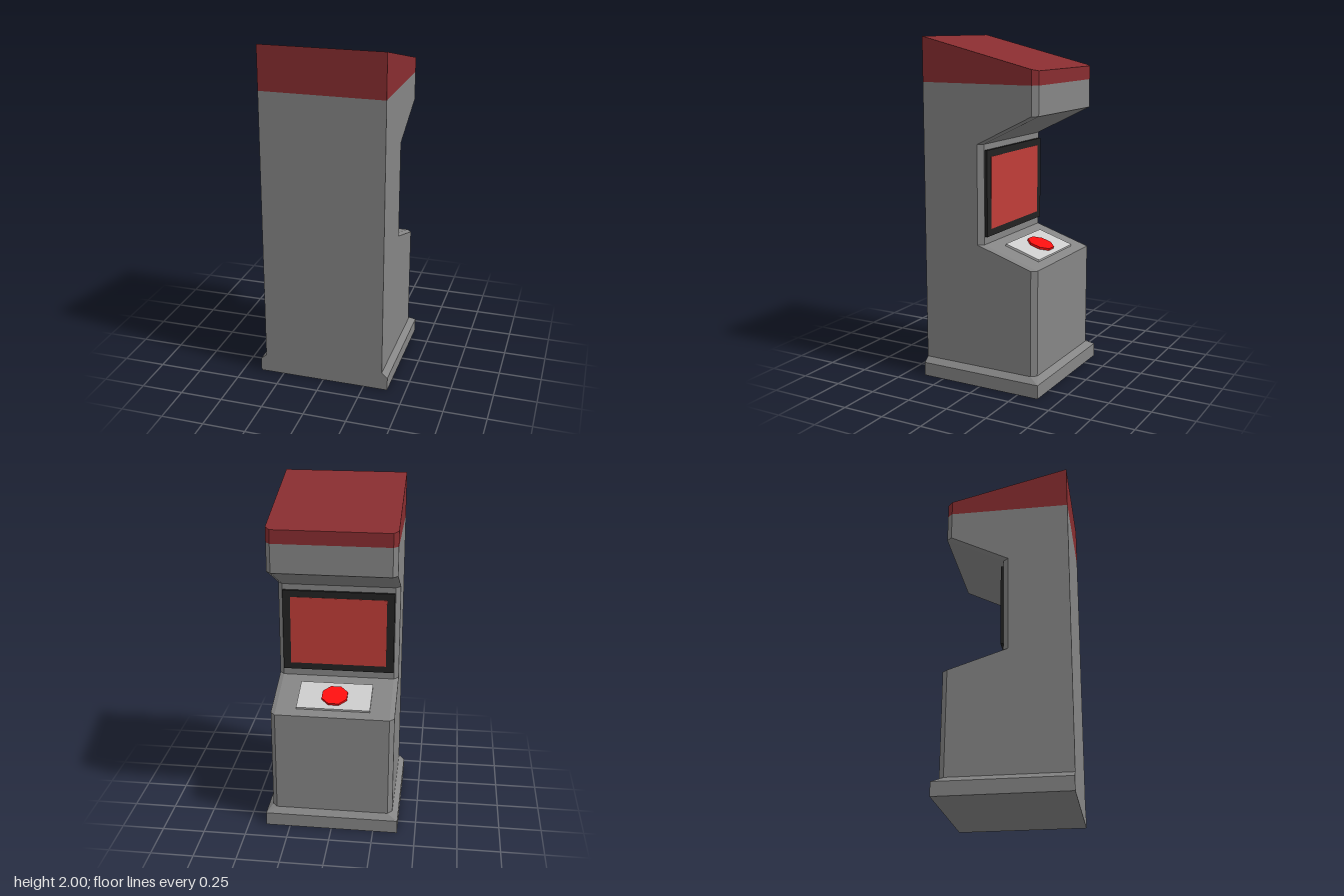
import * as THREE from 'three';

const BACK = 0.378;

// Horizontal cross-section with two chamfered corners on the player's side (-z)
function section(y, halfW, zFront, chamfer, tilt = 0) {
  const outline = [
    [halfW, BACK], [halfW, zFront + chamfer], [halfW - chamfer * 0.9, zFront],
    [-halfW + chamfer * 0.9, zFront], [-halfW, zFront + chamfer], [-halfW, BACK],
  ];
  return outline.map(([x, z]) => new THREE.Vector3(x, y + tilt * (z - zFront), z));
}

// Join cross-sections from bottom to top, with optional end caps
function loft(rings, capBottom, capTop) {
  const pos = [];
  const tri = (a, b, c) => {
    if (a.equals(b) || b.equals(c) || a.equals(c)) return;
    for (const p of [a, b, c]) pos.push(p.x, p.y, p.z);
  };
  for (let r = 0; r < rings.length - 1; r++) {
    const lo = rings[r], hi = rings[r + 1];
    for (let i = 0; i < lo.length; i++) {
      const j = (i + 1) % lo.length;
      tri(lo[i], lo[j], hi[j]);
      tri(lo[i], hi[j], hi[i]);
    }
  }
  const first = rings[0], last = rings[rings.length - 1];
  for (let i = 1; i < first.length - 1; i++) {
    if (capBottom) tri(first[0], first[i + 1], first[i]);
    if (capTop) tri(last[0], last[i], last[i + 1]);
  }
  const geo = new THREE.BufferGeometry();
  geo.setAttribute('position', new THREE.Float32BufferAttribute(pos, 3));
  geo.computeVertexNormals();
  return geo;
}

export function createModel() {
  const model = new THREE.Group();
  model.name = 'arcadeCabinet';

  const add = (parent, name, geo, color, x = 0, y = 0, z = 0) => {
    const mesh = new THREE.Mesh(geo, new THREE.MeshStandardMaterial({ color, flatShading: true }));
    mesh.name = name;
    mesh.position.set(x, y, z);
    parent.add(mesh);
    return mesh;
  };

  const GREY = 0x858585, RED = 0x882d30;
  const W = 0.36, FRONT = -0.345, RECESS = -0.005, C = 0.03;
  const deskY = 0.725, deskBackY = 0.835;

  // Plinth, square below and sloping in to the cabinet
  add(model, 'plinth', loft([
    section(0, 0.394, -0.378, 0),
    section(0.08, 0.394, -0.378, 0),
    section(0.11, W, FRONT, C),
  ], true, false), GREY);

  // Cabinet: lower box, sloped desk, screen recess, overhang
  const profile = [
    [0.11, FRONT], [deskY, FRONT], [deskBackY, RECESS],
    [1.41, RECESS], [1.58, FRONT], [1.745, FRONT],
  ];
  add(model, 'cabinetBody', loft(profile.map(([y, z]) => section(y, W, z, C)), false, false), GREY);

  // Red top with a slanted roof
  add(model, 'roof', loft([
    section(1.745, W, FRONT, C),
    section(1.823, W, FRONT, C, (2 - 1.823) / (BACK - FRONT)),
  ], false, true), RED);

  // Screen and its frame
  add(model, 'screenFrame', new THREE.BoxGeometry(0.66, 0.495, 0.018), 0x222222, 0, 1.128, -0.013);
  add(model, 'screen', new THREE.BoxGeometry(0.57, 0.415, 0.004), 0xc03d38, 0, 1.128, -0.0215);

  // Control plate and button, lying on the sloped desk
  const controls = new THREE.Group();
  controls.name = 'controls';
  const midZ = -0.182;
  const slope = (deskBackY - deskY) / (RECESS - FRONT);
  controls.position.set(0, deskY + slope * (midZ - FRONT), midZ);
  controls.rotation.x = -Math.atan(slope);
  model.add(controls);
  add(controls, 'controlPlate', new THREE.BoxGeometry(0.43, 0.014, 0.225), 0xcccccc, 0, 0.006, 0);
  const button = add(controls, 'button', new THREE.CylinderGeometry(0.08, 0.08, 0.014, 8), 0xff1010, 0, 0.019, -0.006);
  button.rotation.y = Math.PI / 8;

  return model;
}
